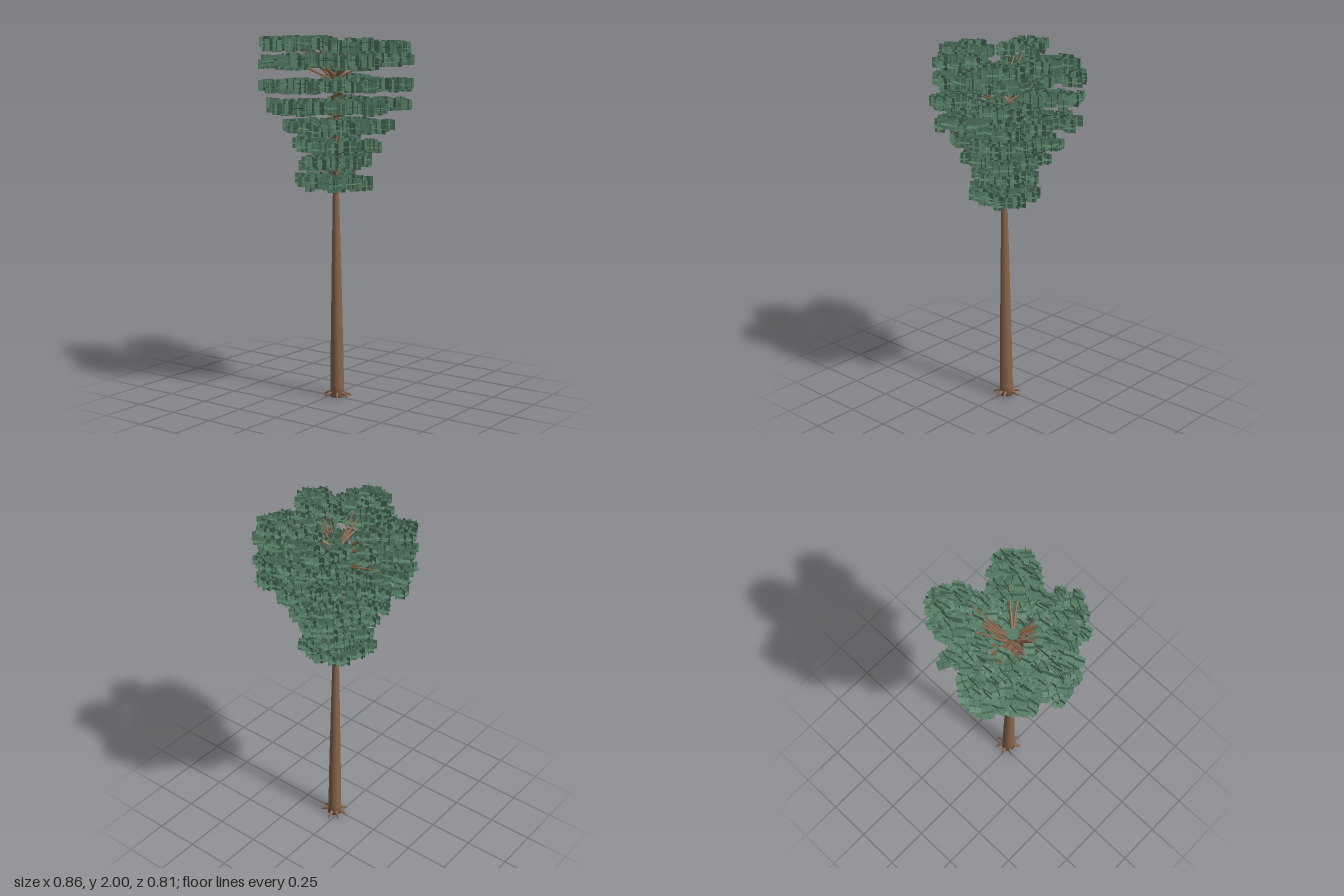
import * as THREE from 'three';
import { mergeGeometries } from 'three/addons/utils/BufferGeometryUtils.js';

// small seeded random generator
let seed = 7;
const rand = () => {
  seed = (seed * 16807) % 2147483647;
  return seed / 2147483647;
};
const spread = (a) => (rand() * 2 - 1) * a;

const AXIS = { x: -0.01, z: 0.032 };
const TRUNK_TOP = 1.8;
const UP = new THREE.Vector3(0, 1, 0);

// tapered limb between two points
function limb(a, b, r0, r1, sides = 6) {
  const dir = b.clone().sub(a);
  const g = new THREE.CylinderGeometry(r1, r0, dir.length(), sides);
  g.applyQuaternion(new THREE.Quaternion().setFromUnitVectors(UP, dir.normalize()));
  g.translate((a.x + b.x) / 2, (a.y + b.y) / 2, (a.z + b.z) / 2);
  return g;
}

// two upright crossed cards and one slightly tilted flat card
function leafTuft(size) {
  return mergeGeometries([
    new THREE.PlaneGeometry(size, size),
    new THREE.PlaneGeometry(size, size).rotateY(Math.PI / 2),
    new THREE.PlaneGeometry(size, size).rotateX(-Math.PI / 2 + spread(0.2)).rotateZ(spread(0.2)),
  ]);
}

// outer centres of the main crown lobes, and fillers for the lower tiers
const LOBES = [[-0.13, -0.36], [0.38, -0.14], [0.27, 0.34], [-0.19, 0.35], [-0.39, 0.04]];
const FILLERS = [[-0.33, -0.18], [0.04, 0.35], [0.25, -0.25], [-0.28, 0.25], [0.34, 0.11]];

// height, reach, inner start of the foliage, whether the fillers grow
const TIERS = [
  [1.21, 0.46, 0.2, true],
  [1.315, 0.43, 0.2, true],
  [1.405, 0.56, 0.2, true],
  [1.51, 0.72, 0.22, true],
  [1.625, 0.95, 0.24, true],
  [1.74, 0.97, 0.33, false],
  [1.855, 1.00, 0.35, false],
  [1.94, 0.95, 0.37, false],
];

export function createModel() {
  const tree = new THREE.Group();
  tree.name = 'tree';
  const bark = new THREE.MeshStandardMaterial({ color: 0x89664c });
  const leaf = new THREE.MeshStandardMaterial({ color: 0x557c64, side: THREE.DoubleSide });
  bark.name = 'bark';
  leaf.name = 'leaf green';

  const add = (name, geometry, material) => {
    const mesh = new THREE.Mesh(geometry, material);
    mesh.name = name;
    tree.add(mesh);
    return mesh;
  };

  // trunk: slim lathe, leaning slightly toward the axis at the top
  const profile = [[0, 0], [0.041, 0], [0.038, 0.06], [0.035, 0.3], [0.026, 0.75],
    [0.016, 1.2], [0.011, 1.55], [0.008, TRUNK_TOP], [0, TRUNK_TOP]];
  const trunk = new THREE.LatheGeometry(profile.map(([r, y]) => new THREE.Vector2(r, y)), 12);
  const pos = trunk.attributes.position;
  for (let i = 0; i < pos.count; i++) {
    const k = pos.getY(i) / TRUNK_TOP;
    pos.setX(i, pos.getX(i) + 0.013 + (AXIS.x - 0.013) * k);
    pos.setZ(i, pos.getZ(i) + AXIS.z);
  }
  trunk.computeVertexNormals();
  add('trunk', trunk, bark);

  // roots flaring out at the foot
  const roots = [];
  for (let i = 0; i < 7; i++) {
    const a = (i / 7) * Math.PI * 2 + spread(0.2);
    const at = (r, y) => new THREE.Vector3(0.015 + Math.cos(a) * r, y, AXIS.z + Math.sin(a) * r);
    roots.push(limb(at(0.025, 0.026), at(0.058, 0.017), 0.011, 0.008));
    roots.push(limb(at(0.056, 0.018), at(0.08, 0.005), 0.008, 0.002));
  }
  add('roots', mergeGeometries(roots), bark);

  // flat leafy tiers carried on branches
  const branches = [];
  TIERS.forEach(([y, reach, start, full], tierIndex) => {
    const tufts = [];
    const lobes = full ? [...LOBES, ...FILLERS] : LOBES;
    lobes.forEach(([lx, lz], lobeIndex) => {
      const main = lobeIndex < LOBES.length;
      const stretch = reach * (main ? 1 + spread(0.04) : 0.96 + spread(0.06));
      const dx = (lx - AXIS.x) * stretch;
      const dz = (lz - AXIS.z) * stretch;
      const length = Math.hypot(dx, dz);
      const sx = -dz / length;
      const sz = dx / length;
      const lobeY = y + spread(full ? 0.01 : 0.018);

      // branch rises from the trunk into the foliage
      const base = new THREE.Vector3(AXIS.x, Math.min(y - 0.03, TRUNK_TOP - 0.01) - rand() * 0.04, AXIS.z);
      for (const side of full ? [0] : [-0.025, 0.025]) {
        const tip = new THREE.Vector3(AXIS.x + dx * 0.55 + sx * side, lobeY, AXIS.z + dz * 0.55 + sz * side);
        branches.push(limb(base, tip, 0.007, 0.004));
      }

      const fullness = Math.max(0.6, reach);
      const count = Math.round((full ? (main ? 26 : 18) : 42) * fullness);
      for (let i = 0; i < count; i++) {
        const t = start + (1 - start) * Math.pow((i + rand()) / count, 0.75);
        const width = 0.125 * Math.sin(Math.PI * (0.08 + 0.75 * t)) * fullness;
        const across = spread(width);
        const tuft = leafTuft(0.052 + rand() * 0.008);
        tuft.rotateY(rand() * Math.PI);
        tuft.translate(AXIS.x + dx * t + sx * across, lobeY + spread(0.015), AXIS.z + dz * t + sz * across);
        tufts.push(tuft);
      }
    });
    add(`leafTier${tierIndex + 1}`, mergeGeometries(tufts), leaf);
  });
  add('branches', mergeGeometries(branches), bark);

  // flat leafy cap closing the trunk
  const cap = add('topCap', new THREE.CylinderGeometry(0.033, 0.028, 0.02, 10), leaf);
  cap.position.set(AXIS.x, TRUNK_TOP + 0.01, AXIS.z);

  return tree;
}
